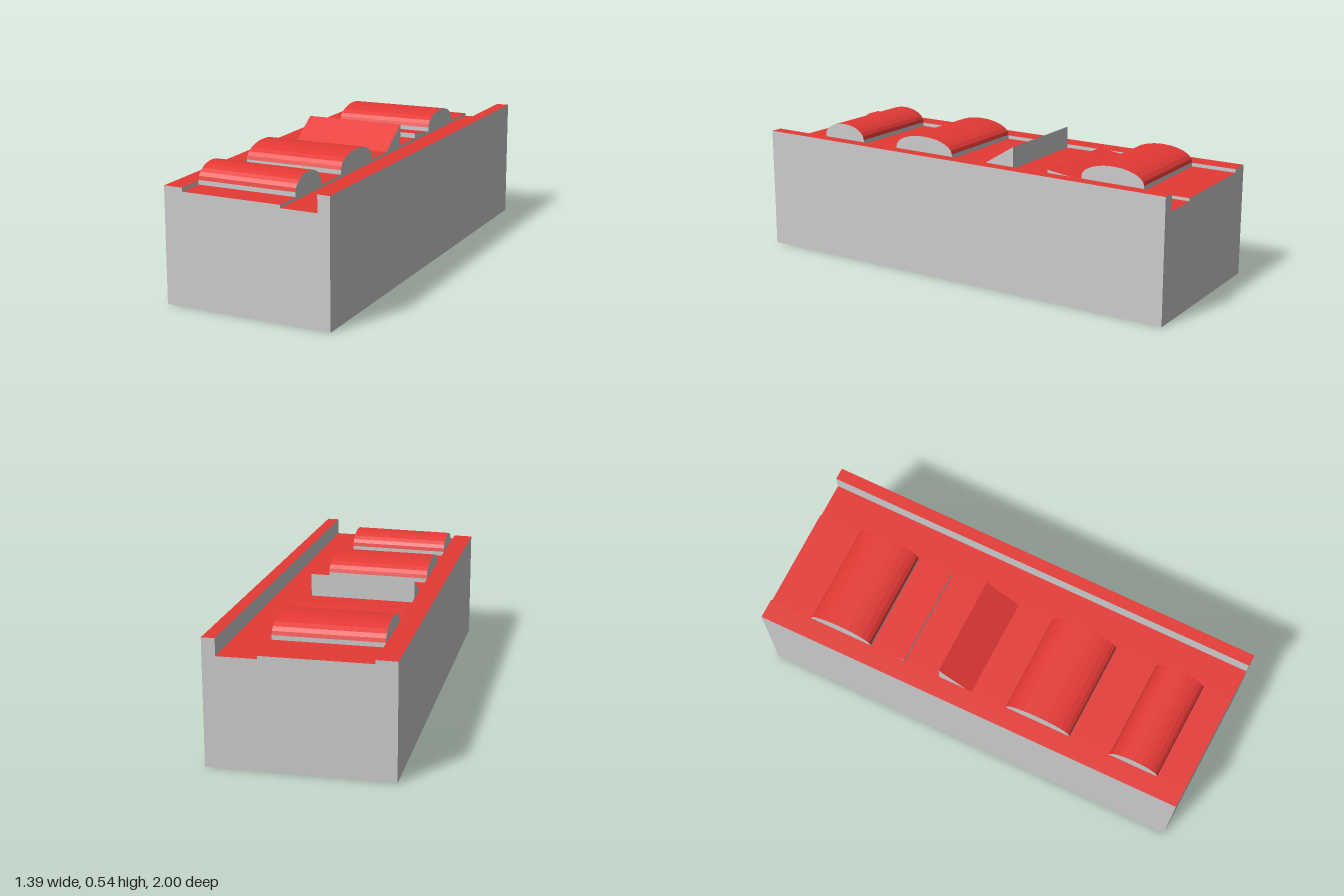
import * as THREE from 'three';

const RED = new THREE.MeshStandardMaterial({ color: 0xe53935, flatShading: true });
const GREY = new THREE.MeshStandardMaterial({ color: 0xcccccc, flatShading: true });

// Plan corners [x, z]; u runs across the block, v runs from back to front.
const BACK = [[0.03, -1], [0.695, -0.72]];
const FRONT = [[-0.695, 0.69], [-0.07, 1]];
const lerp = THREE.MathUtils.lerp;

function at(u, v, y) {
  const [x, z] = [0, 1].map(i => lerp(
    lerp(BACK[0][i], BACK[1][i], u), lerp(FRONT[0][i], FRONT[1][i], u), v));
  return [x, y, z];
}

function quad(list, a, b, c, d) {
  list.push(...a, ...b, ...c, ...a, ...c, ...d);
}

// Red upper surfaces and grey sides of one part
function makePart(name, red, grey) {
  const part = new THREE.Group();
  part.name = name;
  for (const [suffix, list, material] of [['Top', red, RED], ['Sides', grey, GREY]]) {
    const geometry = new THREE.BufferGeometry();
    geometry.setAttribute('position', new THREE.Float32BufferAttribute(list, 3));
    geometry.computeVertexNormals();
    const mesh = new THREE.Mesh(geometry, material);
    mesh.name = name + suffix;
    part.add(mesh);
  }
  return part;
}

// Block whose cross-section [u, height] runs along its whole length
function makeBlock(name, profile) {
  const red = [], grey = [];
  for (let i = 0; i + 1 < profile.length; i++) {
    const [u0, h0] = profile[i], [u1, h1] = profile[i + 1];
    const vertical = u0 === u1;
    quad(vertical ? grey : red, at(u0, 1, h0), at(u1, 1, h1), at(u1, 0, h1), at(u0, 0, h0));
    if (vertical) continue;
    quad(grey, at(u0, 1, 0), at(u1, 1, 0), at(u1, 1, h1), at(u0, 1, h0));
    quad(grey, at(u1, 0, 0), at(u0, 0, 0), at(u0, 0, h0), at(u1, 0, h1));
  }
  quad(grey, at(0, 0, 0), at(1, 0, 0), at(1, 1, 0), at(0, 1, 0));
  return makePart(name, red, grey);
}

const FLOOR = 0.447, U0 = 0.115, U1 = 0.712;

// Roof piece on the floor, with a side profile [v, height]
function makeRoof(name, profile) {
  const red = [], grey = [];
  for (let i = 0; i + 1 < profile.length; i++) {
    const [v0, h0] = profile[i], [v1, h1] = profile[i + 1];
    const vertical = v0 === v1;
    quad(vertical ? grey : red, at(U0, v1, h1), at(U1, v1, h1), at(U1, v0, h0), at(U0, v0, h0));
    if (vertical) continue;
    quad(grey, at(U1, v1, FLOOR), at(U1, v0, FLOOR), at(U1, v0, h0), at(U1, v1, h1));
    quad(grey, at(U0, v0, FLOOR), at(U0, v1, FLOOR), at(U0, v1, h1), at(U0, v0, h0));
  }
  return makePart(name, red, grey);
}

// Barrel roof: short upright sides under an elliptical arch
function barrel(v0, v1) {
  const profile = [[v0, FLOOR]];
  const steps = 12;
  for (let i = 0; i <= steps; i++) {
    const a = Math.PI * i / steps;
    profile.push([lerp(v0, v1, (1 - Math.cos(a)) / 2), 0.465 + 0.058 * Math.sin(a)]);
  }
  profile.push([v1, FLOOR]);
  return profile;
}

export function createModel() {
  const model = new THREE.Group();
  model.name = 'building';

  // Main block: left ledge, roof floor, gutter and tall right parapet
  model.add(makeBlock('mainBlock', [
    [0, 0], [0, 0.462], [U0, 0.462], [U0, FLOOR], [U1, FLOOR],
    [U1, 0.435], [0.928, 0.435], [0.928, 0.503], [1, 0.503], [1, 0],
  ]));

  // Barrel roofs
  [[0.102, 0.249], [0.578, 0.73], [0.824, 0.935]].forEach(([v0, v1], i) => {
    model.add(makeRoof('barrelRoof' + (i + 1), barrel(v0, v1)));
  });

  // Sawtooth skylight and the low slope behind it
  model.add(makeRoof('sawtoothRoof', [[0.418, FLOOR], [0.418, 0.538], [0.495, FLOOR]]));
  model.add(makeRoof('lowSlope', [[0.249, FLOOR], [0.332, 0.468], [0.332, FLOOR]]));

  return model;
}
